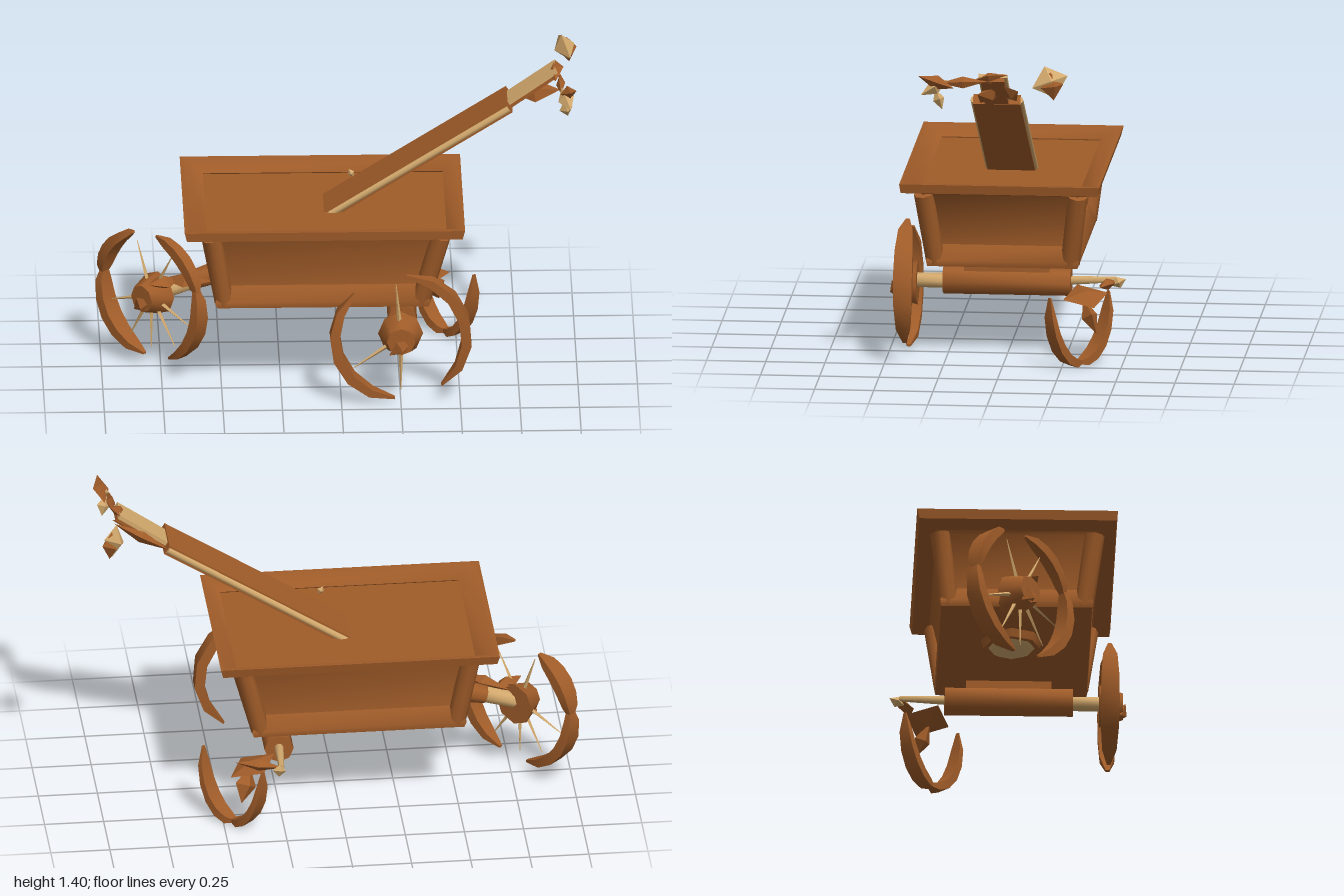
import * as THREE from 'three';
import { toCreasedNormals } from 'three/addons/utils/BufferGeometryUtils.js';

const mat = (name, color) => {
  const m = new THREE.MeshStandardMaterial({ color, side: THREE.DoubleSide });
  m.name = name;
  return m;
};

export function createModel() {
  const wood = mat('brown wood', 0xa05c29);
  const pale = mat('pale wood', 0xd2a86c);
  const root = new THREE.Group();
  const V = (a) => new THREE.Vector3(...a);

  const add = (name, geo, material, parent = root) => {
    const m = new THREE.Mesh(toCreasedNormals(geo, 0.9), material);
    m.name = name;
    parent.add(m);
    return m;
  };

  // Tapered round bar between two points
  const bar = (name, p, q, r1, r2, material, parent = root, sides = 8) => {
    const a = V(p), d = V(q).sub(a);
    const m = add(name, new THREE.CylinderGeometry(r2, r1, d.length(), sides), material, parent);
    m.position.copy(a).addScaledVector(d, 0.5);
    m.quaternion.setFromUnitVectors(new THREE.Vector3(0, 1, 0), d.normalize());
  };

  // Splintered piece
  const shard = (name, pos, size, rot, material, parent = root) => {
    const m = add(name, new THREE.OctahedronGeometry(0.5), material, parent);
    m.position.set(...pos);
    m.scale.set(...size);
    m.rotation.set(...rot);
  };

  // Closed ring or capped skin through rectangles [y, x0, x1, z0, z1]
  const rectLoft = (rects, closed) => {
    const pos = [], idx = [];
    for (const [y, x0, x1, z0, z1] of rects) pos.push(x0, y, z1, x1, y, z1, x1, y, z0, x0, y, z0);
    const n = rects.length;
    for (let i = 0; i < (closed ? n : n - 1); i++) {
      for (let j = 0; j < 4; j++) {
        const a = i * 4 + j, b = i * 4 + (j + 1) % 4;
        const c = ((i + 1) % n) * 4 + (j + 1) % 4, d = ((i + 1) % n) * 4 + j;
        idx.push(a, b, c, a, c, d);
      }
    }
    if (!closed) {
      const t = (n - 1) * 4;
      idx.push(0, 2, 1, 0, 3, 2, t, t + 1, t + 2, t, t + 2, t + 3);
    }
    const g = new THREE.BufferGeometry();
    g.setAttribute('position', new THREE.Float32BufferAttribute(pos, 3));
    g.setIndex(idx);
    return g;
  };

  // Tub: recessed panels, flat top, sloping rim
  add('tub', rectLoft([[0.4, -0.5, 0.35, -0.29, 0.31], [0.49, -0.495, 0.34, -0.275, 0.295],
    [0.715, -0.55, 0.425, -0.315, 0.345], [0.735, -0.57, 0.45, -0.325, 0.355]]), wood);
  add('rim', rectLoft([[0.725, -0.57, 0.45, -0.33, 0.36], [0.74, -0.65, 0.51, -0.4, 0.43],
    [0.78, -0.66, 0.52, -0.41, 0.435], [0.78, -0.635, 0.495, -0.39, 0.41],
    [0.74, -0.565, 0.445, -0.32, 0.35]], true), wood);

  // Frame beams around the foot and up the corners
  add('footFrame', rectLoft([[0.395, -0.52, 0.37, -0.305, 0.33], [0.42, -0.53, 0.378, -0.31, 0.335],
    [0.485, -0.5, 0.345, -0.28, 0.3]]), wood);
  for (const right of [0, 1]) {
    for (const front of [0, 1]) {
      bar('cornerPost', [right ? 0.338 : -0.49, 0.41, front ? 0.297 : -0.272],
        [right ? 0.42 : -0.545, 0.72, front ? 0.34 : -0.31], 0.04, 0.042, wood);
    }
  }

  // Pad under the tub
  const pad = add('underPad', new THREE.CylinderGeometry(0.13, 0.12, 0.04, 8), wood);
  pad.position.set(-0.18, 0.38, 0);
  const cap = add('underCap', new THREE.CylinderGeometry(0.1, 0.07, 0.018, 8), pale);
  cap.position.set(-0.18, 0.352, 0);

  // Handle plank with pale edges
  const handle = new THREE.Group();
  handle.name = 'handle';
  handle.position.set(0.31, 0.945, 0.005);
  handle.rotation.z = Math.atan2(0.44, 0.7);
  root.add(handle);
  add('plank', new THREE.BoxGeometry(0.96, 0.044, 0.2), wood, handle);
  for (const s of [-1, 1]) {
    const edge = add('plankEdge', new THREE.CylinderGeometry(0.016, 0.016, 0.95, 8), pale, handle);
    edge.rotation.z = Math.PI / 2;
    edge.position.z = s * 0.096;
  }
  // Broken neck: brown strip over a pale one
  for (const [y, width, material] of [[0.012, 0.12, pale], [-0.006, 0.1, wood]]) {
    const strip = add('neckStrip', new THREE.BoxGeometry(0.27, 0.018, width), material, handle);
    strip.position.set(0.59, y, 0);
    strip.rotation.z = 0.05;
  }
  shard('neckSplinter', [0.82, 1.25, -0.06], [0.26, 0.05, 0.07], [0.3, 0, 0.5], wood);
  shard('neckSplinter', [0.83, 1.245, 0.03], [0.22, 0.06, 0.1], [0.8, -0.1, 0.4], wood);
  shard('neckSplinter', [0.91, 1.335, 0.02], [0.08, 0.05, 0.16], [0.2, 0, 0.5], wood);
  shard('neckSplinter', [0.93, 1.32, 0.13], [0.04, 0.05, 0.2], [0.05, 0, 0.3], wood);
  // Broken grip ends
  shard('gripPiece', [0.955, 1.335, -0.24], [0.09, 0.14, 0.16], [0.3, 0.3, 0.2], pale);
  shard('gripSplinter', [0.97, 1.32, -0.25], [0.08, 0.12, 0.1], [0.1, 0.4, 0.1], wood);
  shard('gripPiece', [0.96, 1.325, 0.24], [0.07, 0.06, 0.16], [-0.35, 0.1, 0.2], wood);
  shard('gripPiece', [0.95, 1.3, 0.25], [0.07, 0.06, 0.13], [0.5, 0.3, 0.2], pale);
  shard('gripPiece', [0.95, 1.25, 0.23], [0.06, 0.09, 0.05], [0.3, 0.3, 0.2], pale);
  shard('looseChip', [0.05, 0.89, 0.05], [0.03, 0.04, 0.03], [0, 0, 0.5], pale);

  // Broken rim piece: a box bent along an arc, thinned at its ends
  const felloe = (parent, from, to, r, thick, width) => {
    const g = new THREE.BoxGeometry(1, 1, 1, 6, 1, 1);
    const p = g.attributes.position;
    for (let i = 0; i < p.count; i++) {
      const u = p.getX(i) + 0.5;
      const a = THREE.MathUtils.degToRad(to + (from - to) * u);
      const k = 0.2 + 0.8 * Math.sqrt(Math.max(0, Math.sin(Math.PI * u)));
      const rr = r + p.getY(i) * thick * k;
      p.setXYZ(i, rr * Math.cos(a), rr * Math.sin(a), p.getZ(i) * width * k);
    }
    add('wheelRimPiece', g, wood, parent);
  };

  // Wheel: rim pieces [from, to, width] in degrees, hub and thin spokes
  const wheel = (name, pos, yaw, pieces, spokes, hub) => {
    const w = new THREE.Group();
    w.name = name;
    w.position.set(...pos);
    w.rotation.y = yaw;
    root.add(w);
    for (const [a, b, width] of pieces) felloe(w, a, b, 0.278, 0.045, width);
    if (hub) {
      bar('hub', [0, 0, -0.04], [0, 0, 0.06], 0.095, 0.06, wood, w);
      shard('hubSplinter', [0, -0.03, 0.05], [0.12, 0.09, 0.06], [0.4, 0.3, 0.5], wood, w);
    }
    for (const deg of spokes) {
      const c = Math.cos(deg * Math.PI / 180), s = Math.sin(deg * Math.PI / 180);
      bar('spoke', [0.07 * c, 0.07 * s, 0], [0.24 * c, 0.24 * s, 0], 0.01, 0.002, pale, w, 4);
    }
    return w;
  };

  wheel('frontWheel', [0.25, 0.295, 0.42], 0, [[134, 265, 0.08], [-52, 85, 0.08]],
    [95, 215, 270], true);
  wheel('rearWheel', [-0.79, 0.33, 0.02], -Math.PI / 4,
    [[112, 178, 0.08], [165, 262, 0.08], [12, 84, 0.05], [-68, 25, 0.07]],
    [60, 110, 200, 240, 270, 305, 340], true);
  const half = wheel('backWheel', [0.46, 0.29, -0.32], -Math.PI / 4,
    [[178, 275, 0.07], [262, 365, 0.07]], [], false);
  half.scale.x = 0.58;

  // Cross axle under the handle end, with its mount
  bar('axleBlock', [0.26, 0.315, -0.27], [0.26, 0.315, 0.27], 0.062, 0.062, wood);
  bar('axleEnd', [0.26, 0.31, 0.26], [0.26, 0.31, 0.4], 0.032, 0.032, pale);
  bar('axleEnd', [0.26, 0.32, -0.26], [0.27, 0.33, -0.46], 0.02, 0.012, pale);
  const mount = add('axleMount', new THREE.BoxGeometry(0.08, 0.05, 0.36), wood);
  mount.position.set(0.26, 0.385, 0);
  shard('axleSplinter', [0.38, 0.28, -0.34], [0.22, 0.05, 0.2], [0.1, 0.4, -0.3], wood);
  shard('axleSplinter', [0.41, 0.2, -0.36], [0.1, 0.16, 0.07], [0.3, 0.4, 0.3], wood);
  shard('axleSplinter', [0.36, 0.33, -0.43], [0.2, 0.05, 0.07], [0.2, -0.2, 0.1], wood);
  shard('axleSplinter', [0.28, 0.32, -0.47], [0.06, 0.05, 0.07], [0.4, 0.2, 0.1], pale);

  // Rear axle to the tub, pale in its middle
  bar('rearAxle', [-0.79, 0.33, 0.02], [-0.62, 0.385, 0], 0.036, 0.036, pale);
  bar('rearAxleSocket', [-0.64, 0.38, 0], [-0.5, 0.42, -0.02], 0.04, 0.05, wood);
  shard('rearSplinter', [-0.64, 0.41, 0.05], [0.24, 0.06, 0.1], [0.4, -0.4, 0.3], wood);
  shard('rearSplinter', [-0.74, 0.4, 0.05], [0.16, 0.06, 0.1], [0.2, 0.6, -0.2], wood);

  return root;
}
